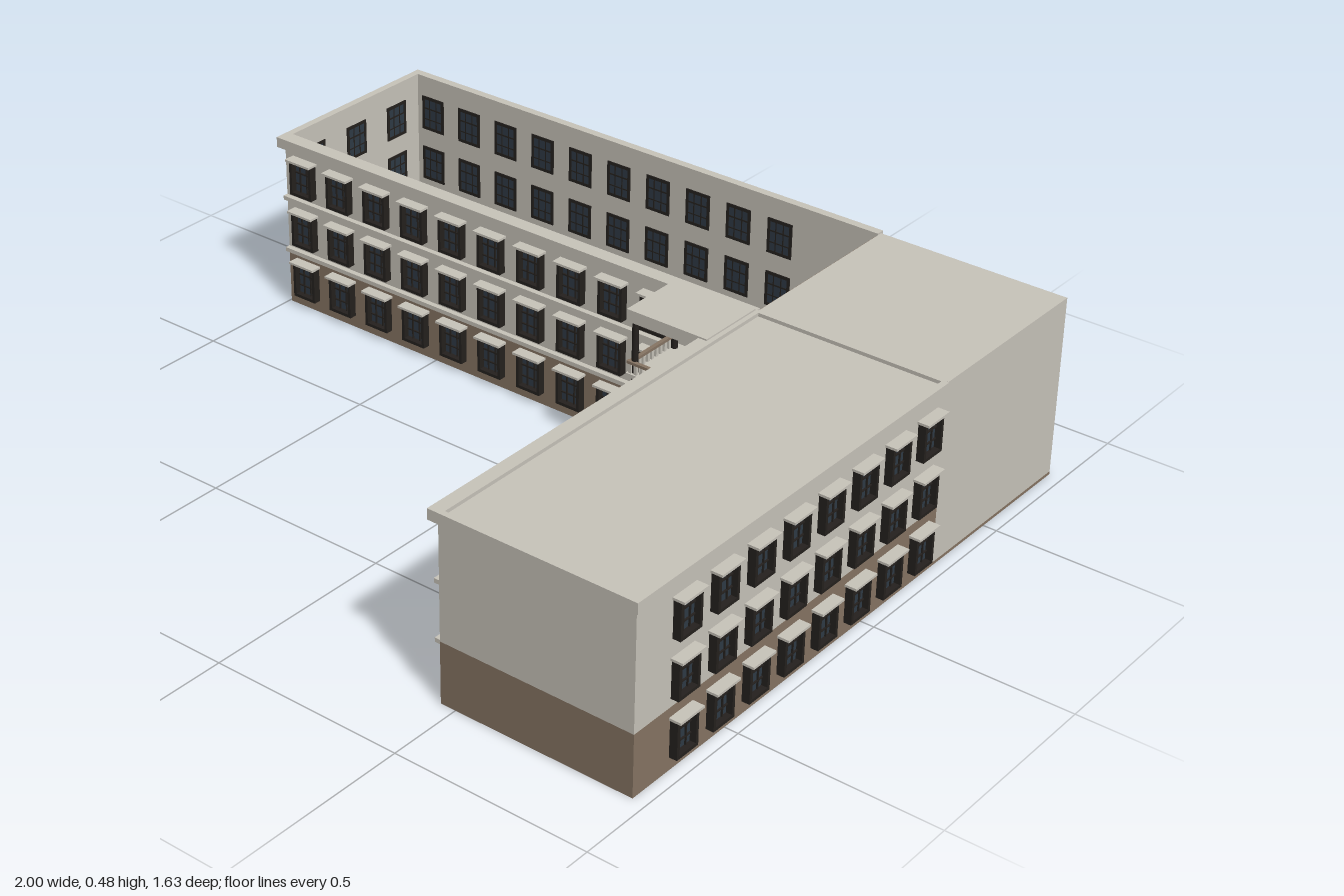
import * as THREE from 'three';
import { mergeGeometries } from 'three/addons/utils/BufferGeometryUtils.js';

const mat = (name, color) => {
  const m = new THREE.MeshStandardMaterial({ color });
  m.name = name;
  return m;
};

// Box geometry given by its extents on each axis
function slab(x0, x1, y0, y1, z0, z1) {
  return new THREE.BoxGeometry(x1 - x0, y1 - y0, z1 - z0)
    .translate((x0 + x1) / 2, (y0 + y1) / 2, (z0 + z1) / 2);
}

export function createModel() {
  const model = new THREE.Group();
  model.name = 'building';
  const plaster = mat('plaster', 0xc9c5bb);
  const brown = mat('brownPlinth', 0x877564);
  const dark = mat('darkFrame', 0x25211e);
  const glass = mat('glass', 0x2f3a45);
  const red = mat('redRamp', 0xa5402c);

  const add = (name, material, ...geos) => {
    const mesh = new THREE.Mesh(geos.length > 1 ? mergeGeometries(geos) : geos[0], material);
    mesh.name = name;
    model.add(mesh);
    return mesh;
  };

  const SPLIT = 0.157, TOP = 0.465, T = 0.012;
  const AX0 = -0.995, AX1 = 0.46, AZ0 = -0.79, AZ1 = -0.285;
  const BX0 = 0.46, BX1 = 0.965, BZ1 = 0.81;

  // West wing: a roofless shell with a floor
  const shell = (y0, y1) => [
    slab(AX0, AX1, y0, y1, AZ1 - T, AZ1),
    slab(AX0, AX1, y0, y1, AZ0, AZ0 + T),
    slab(AX0, AX0 + T, y0, y1, AZ0 + T, AZ1 - T),
  ];
  add('westWingLowerWalls', brown, ...shell(0, SPLIT));
  add('westWingUpperWalls', plaster, ...shell(SPLIT, TOP));
  add('westWingFloor', brown, slab(AX0 + T, AX1, 0, 0.01, AZ0 + T, AZ1 - T));
  add('westWingInnerEndWall', brown, slab(AX1 - 0.006, AX1, 0.01, TOP, AZ0 + T, AZ1 - T));
  add('westWingParapet', plaster,
    slab(AX0 - 0.005, AX1, 0.447, 0.474, AZ1 - 0.014, AZ1 + 0.025),
    slab(AX0 - 0.005, AX1, 0.447, 0.474, AZ0 - 0.008, AZ0 + 0.014),
    slab(AX0 - 0.005, AX0 + 0.014, 0.447, 0.474, AZ0, AZ1));

  // South wing and plain corner block
  add('southWingLower', brown, slab(BX0, BX1, 0, SPLIT, AZ1, BZ1));
  add('southWingUpper', plaster, slab(BX0, BX1, SPLIT, TOP, AZ1, BZ1));
  add('cornerBlock', plaster, slab(BX0, BX1, 0.008, 0.47, AZ0, AZ1));
  add('cornerBase', brown, slab(BX0, BX1, 0, 0.008, AZ0, AZ1));
  add('southWingParapet', plaster,
    slab(BX0 - 0.025, BX0 + 0.01, 0.447, 0.474, AZ1, BZ1 + 0.005),
    slab(BX1 - 0.01, BX1 + 0.006, 0.447, 0.474, AZ1, BZ1 + 0.005),
    slab(BX0, BX1, 0.447, 0.474, BZ1 - 0.01, BZ1 + 0.005),
    slab(BX0, BX1, 0.447, 0.474, AZ1 - 0.004, AZ1 + 0.006));

  // Courtyard string courses
  for (const y of [0.155, 0.302]) {
    add('stringCourse', plaster,
      slab(AX0, 0.24, y - 0.005, y + 0.006, AZ1, AZ1 + 0.014),
      slab(BX0 - 0.014, BX0, y - 0.005, y + 0.006, -0.1, BZ1));
  }

  // Windows: frame with glazing bars, recessed pane and hood; wall plane at z = 0
  const W = 0.072, H = 0.094;
  function windowParts(depth) {
    const bars = [];
    for (const s of [-1, 1]) {
      const x = s * (W / 2 - 0.004), y = s * (H / 2 - 0.004);
      bars.push(slab(x - 0.004, x + 0.004, -H / 2, H / 2, -0.015, depth));
      bars.push(slab(-W / 2, W / 2, y - 0.004, y + 0.004, -0.015, depth));
      bars.push(slab(s * 0.011 - 0.0015, s * 0.011 + 0.0015, -H / 2, H / 2, -0.015, 0.008));
    }
    bars.push(slab(-W / 2, W / 2, 0.012, 0.016, -0.015, 0.008));
    bars.push(slab(-W / 2, W / 2, -0.018, -0.015, -0.015, 0.008));
    return mergeGeometries(bars);
  }
  const deepFrame = windowParts(0.02), flatFrame = windowParts(0.009);
  const pane = slab(-W / 2 + 0.004, W / 2 - 0.004, -H / 2 + 0.004, H / 2 - 0.004, -0.014, 0.004);
  const hood = slab(-W / 2 - 0.004, W / 2 + 0.004, H / 2, H / 2 + 0.006, 0, 0.03);

  function addWindows(name, places, turn, hooded = true) {
    const group = new THREE.Group();
    group.name = name;
    for (const [x, z] of places) for (const y of [0.08, 0.225, 0.37]) {
      const win = new THREE.Group();
      win.name = 'window';
      const parts = [['frame', hooded ? deepFrame : flatFrame, dark], ['pane', pane, glass]];
      if (hooded) parts.push(['hood', hood, plaster]);
      for (const [n, g, m] of parts) {
        const mesh = new THREE.Mesh(g, m);
        mesh.name = n;
        win.add(mesh);
      }
      win.position.set(x, y, z);
      win.rotation.y = turn;
      group.add(win);
    }
    model.add(group);
  }
  const row = (n, start, step) => Array.from({ length: n }, (_, i) => start + i * step);
  const xs = row(10, -0.93, 0.1235), zs = row(8, 0.655, -0.1245);
  addWindows('westWingFrontWindows', xs.map(x => [x, AZ1]), 0);
  addWindows('westWingBackWindows', xs.map(x => [x, AZ0]), Math.PI);
  addWindows('southWingOuterWindows', zs.map(z => [BX1, z]), Math.PI / 2);
  addWindows('southWingCourtWindows', zs.slice(0, 6).map(z => [BX0, z]), -Math.PI / 2);
  addWindows('westWingEndWindows', [-0.69, -0.535, -0.38].map(z => [AX0, z]), -Math.PI / 2, false);

  // Entrance porch: roof, columns and two balconies
  const PX0 = 0.235, PX1 = 0.458, PZ = -0.1;
  add('porchRoof', plaster, slab(PX0, PX1, 0.447, 0.478, AZ1, PZ));
  for (const x of [0.25, 0.445]) for (const z of [-0.115, -0.265]) {
    add('porchColumn', dark,
      new THREE.CylinderGeometry(0.008, 0.008, 0.45, 12).translate(x, 0.225, z));
  }
  for (const y of [0.16, 0.303]) {
    add('balconyFloor', plaster, slab(PX0, PX1, y, y + 0.01, AZ1, PZ));
    add('balconyRail', brown,
      slab(PX0, PX1, y + 0.034, y + 0.041, PZ - 0.012, PZ - 0.002),
      slab(PX0 + 0.002, PX0 + 0.012, y + 0.034, y + 0.041, AZ1, PZ - 0.012));
    const balusters = [];
    for (const x of row(14, PX0 + 0.008, 0.016))
      balusters.push(slab(x - 0.004, x + 0.004, y + 0.01, y + 0.034, PZ - 0.01, PZ - 0.004));
    for (const z of row(10, -0.27, 0.016))
      balusters.push(slab(PX0 + 0.004, PX0 + 0.01, y + 0.01, y + 0.034, z - 0.004, z + 0.004));
    add('balusters', plaster, ...balusters);
    add('balconyDoor', dark, slab(0.322, 0.37, y + 0.012, y + 0.098, AZ1 - 0.014, AZ1 + 0.004));
  }

  // Entrance door, vestibule, steps and ramp
  add('vestibule', brown, slab(0.3, 0.395, 0.01, 0.14, -0.35, AZ1 - T));
  add('doorFrame', dark, slab(0.294, 0.401, 0.02, 0.138, AZ1, AZ1 + 0.004));
  add('entranceDoor', glass, slab(0.3, 0.395, 0.02, 0.132, AZ1, AZ1 + 0.007));
  add('porchFloor', plaster, slab(PX0, PX1, 0, 0.02, AZ1, PZ));
  add('steps', plaster, slab(0.285, 0.375, 0, 0.013, PZ, -0.08), slab(0.285, 0.375, 0, 0.007, -0.08, -0.06));
  add('stepPier', brown, slab(PX0, 0.285, 0, 0.026, PZ, -0.05));

  // Ramp sloping down toward the courtyard
  const profile = new THREE.Shape([[-0.09, 0], [0.08, 0], [0.08, 0.004], [-0.09, 0.022]]
    .map(p => new THREE.Vector2(-p[0], p[1])));
  const ramp = new THREE.ExtrudeGeometry(profile, { depth: 0.035, bevelEnabled: false })
    .rotateY(Math.PI / 2).translate(0.395, 0, 0);
  add('ramp', red, ramp);

  return model;
}
